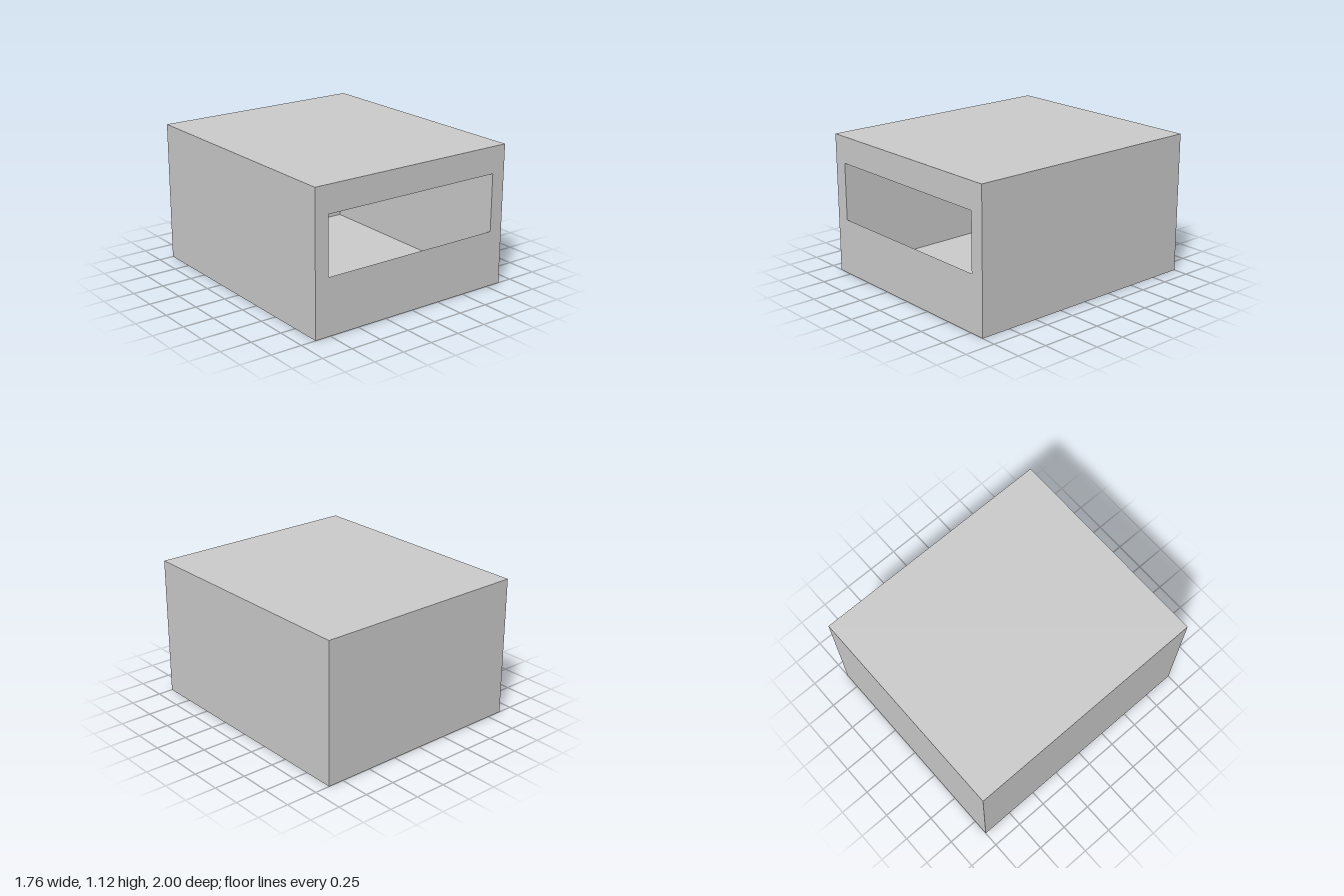
import * as THREE from 'three';

const W = 1.756, H = 1.124, D = 2;

// Box given by its min/max corners, open towards the front (+z)
function openBox(x, y0, y1, z0, z1) {
  const g = new THREE.BoxGeometry(2 * x, y1 - y0, z1 - z0);
  const index = Array.from(g.index.array);
  index.splice(24, 6); // drop the +z face
  g.setIndex(index);
  g.clearGroups();
  g.translate(0, (y0 + y1) / 2, (z0 + z1) / 2);
  return g;
}

function rect(path, x, y0, y1) {
  path.moveTo(-x, y0);
  path.lineTo(x, y0);
  path.lineTo(x, y1);
  path.lineTo(-x, y1);
  path.closePath();
  return path;
}

export function createModel() {
  const group = new THREE.Group();
  const add = (name, geometry, side) => {
    const mesh = new THREE.Mesh(geometry, new THREE.MeshStandardMaterial({ color: 0xcccccc, side }));
    mesh.name = name;
    group.add(mesh);
    return mesh;
  };

  // Outer sides, top, bottom and back
  add('outerShell', openBox(W / 2, 0, H, -D / 2, D / 2), THREE.FrontSide);

  // Hollow interior, seen from within, flush with the slot's sides
  add('innerCavity', openBox(0.765, 0.05, H - 0.05, -0.9, D / 2), THREE.BackSide);

  // Thin front panel with the wide slot
  const panel = rect(new THREE.Shape(), W / 2, 0, H);
  panel.holes.push(rect(new THREE.Path(), 0.765, 0.45, 0.91));
  add('frontPanel', new THREE.ShapeGeometry(panel), THREE.DoubleSide).position.z = D / 2;

  return group;
}
